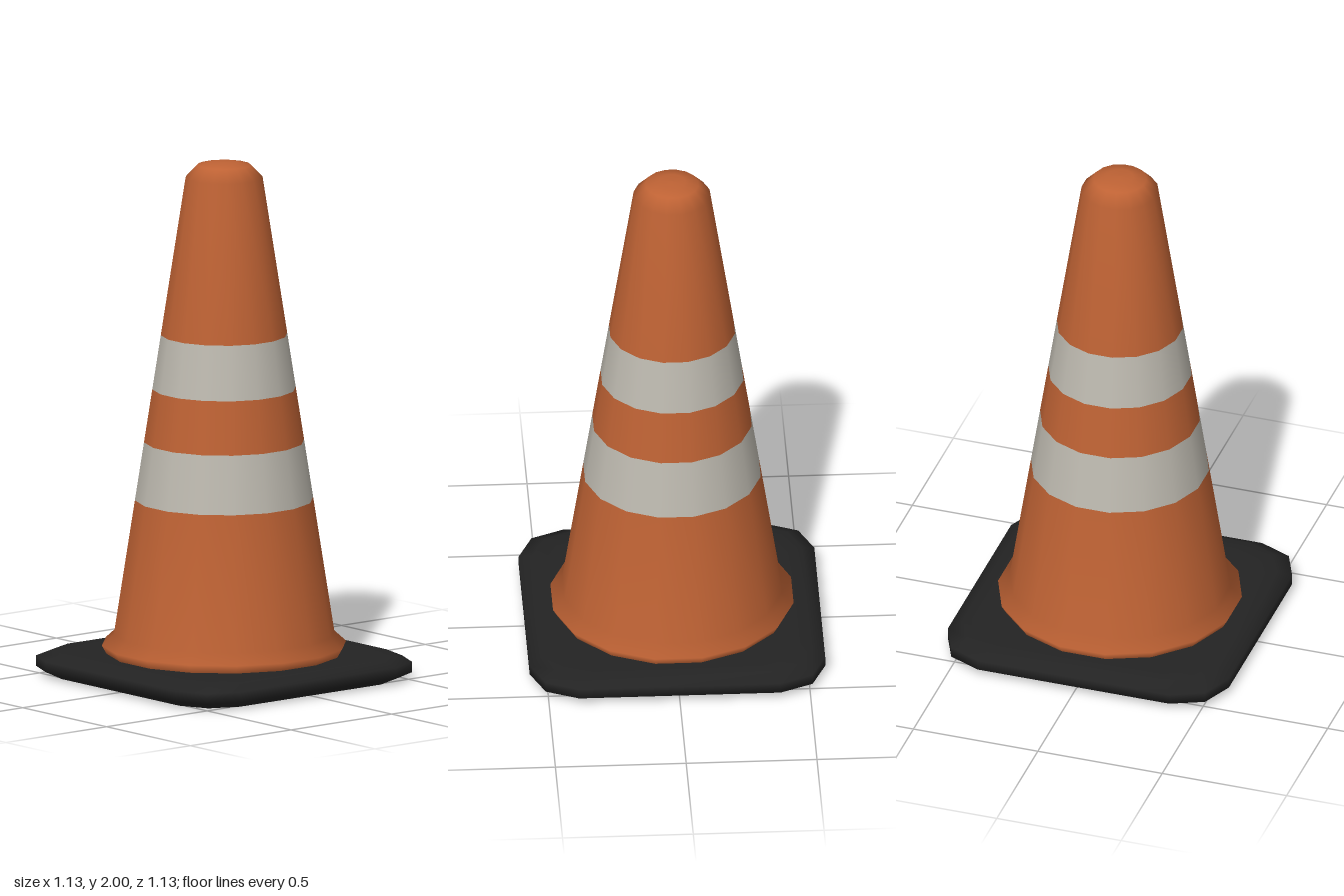
import * as THREE from 'three';

const SIDES = 16;
const orange = new THREE.MeshStandardMaterial({ color: 0xbe6234, side: THREE.DoubleSide });
const pale = new THREE.MeshStandardMaterial({ color: 0xbebab0 });
const black = new THREE.MeshStandardMaterial({ color: 0x232323, side: THREE.DoubleSide });

// Distance from the axis to a flat side of the cone wall at height y
const wall = (y) => 0.415 - (0.27 * (y - 0.17)) / 1.77;

// Sixteen-sided ring surface; profile runs upward as [distance to flat, y]
function turned(name, profile, material) {
  const k = 1 / Math.cos(Math.PI / SIDES);
  const points = profile.map(([r, y]) => new THREE.Vector2(r * k, y));
  const mesh = new THREE.Mesh(new THREE.LatheGeometry(points, SIDES, Math.PI / SIDES), material);
  mesh.name = name;
  return mesh;
}

// Hollow square plate with clipped corners, open below, lofted through [scale, y] layers
function basePlate() {
  const corner = [[0.565, 0.385], [0.51, 0.51], [0.385, 0.565]];
  const outline = [];
  for (let q = 0; q < 4; q++) {
    for (const [x, z] of corner) {
      const c = [1, 0, -1, 0][q], s = [0, 1, 0, -1][q];
      outline.push([x * c - z * s, x * s + z * c]);
    }
  }
  const layers = [[0.91, 0], [1, 0.028], [1, 0.068], [0.91, 0.093], [0.8, 0.096], [0, 0.096]];
  const n = outline.length;
  const positions = [], index = [];
  for (const [s, y] of layers) for (const [x, z] of outline) positions.push(x * s, y, z * s);
  for (let l = 0; l < layers.length - 1; l++) {
    for (let i = 0; i < n; i++) {
      const j = (i + 1) % n;
      const a = l * n + i, b = l * n + j, c = a + n, d = b + n;
      index.push(a, c, b);
      if (layers[l + 1][0] > 0) index.push(b, c, d);
    }
  }
  const geometry = new THREE.BufferGeometry();
  geometry.setAttribute('position', new THREE.Float32BufferAttribute(positions, 3));
  geometry.setIndex(index);
  geometry.computeVertexNormals();
  const mesh = new THREE.Mesh(geometry, black);
  mesh.name = 'basePlate';
  return mesh;
}

export function createModel() {
  const model = new THREE.Group();
  model.name = 'trafficCone';
  const section = (name, y0, y1, material) =>
    turned(name, [[wall(y0), y0], [wall(y1), y1]], material);

  model.add(
    basePlate(),
    // Flared foot and lower wall; the foot just pierces the plate
    turned('lowerCone', [[0.44, 0.092], [0.46, 0.128], [wall(0.17), 0.17], [wall(0.69), 0.69]], orange),
    section('lowerStripe', 0.69, 0.915, pale),
    section('middleCone', 0.915, 1.12, orange),
    section('upperStripe', 1.12, 1.33, pale),
    // Upper wall with rounded tip
    turned('upperCone', [[wall(1.33), 1.33], [0.145, 1.94], [0.1, 1.988], [0.05, 1.998], [0, 2]], orange),
  );
  return model;
}
